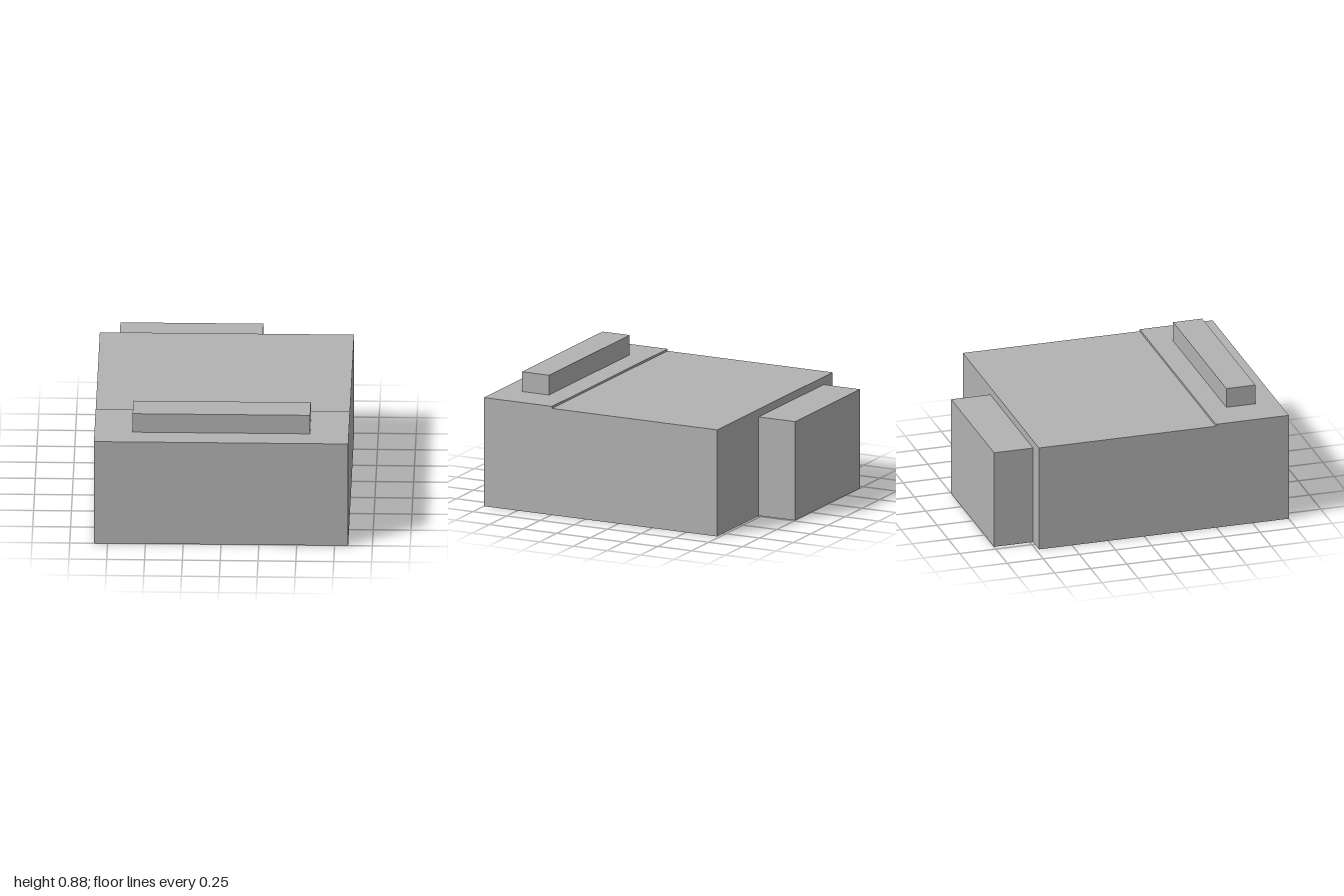
import * as THREE from 'three';

const grey = new THREE.MeshStandardMaterial({ color: 0xb2b2b2 });
grey.name = 'grey';

// Box given by its limits on each axis
function block(name, [x0, x1], [y0, y1], [z0, z1]) {
  const geometry = new THREE.BoxGeometry(x1 - x0, y1 - y0, z1 - z0);
  geometry.translate((x0 + x1) / 2, (y0 + y1) / 2, (z0 + z1) / 2);
  const mesh = new THREE.Mesh(geometry, grey);
  mesh.name = name;
  return mesh;
}

export function createModel() {
  const model = new THREE.Group();
  model.name = 'building';
  model.add(
    // Main hall and the slightly taller front section
    block('mainHall', [-0.84, 0.84], [0, 0.728], [-0.73, 0.495]),
    block('frontSection', [-0.84, 0.84], [0, 0.742], [0.495, 1]),
    // Long raised block on the front roof
    block('roofBlock', [-0.588, 0.585], [0.742, 0.877], [0.647, 0.848]),
    // Lower annex, off centre at the back
    block('rearAnnex', [-0.71, 0.235], [0, 0.675], [-1, -0.73]),
  );
  return model;
}
